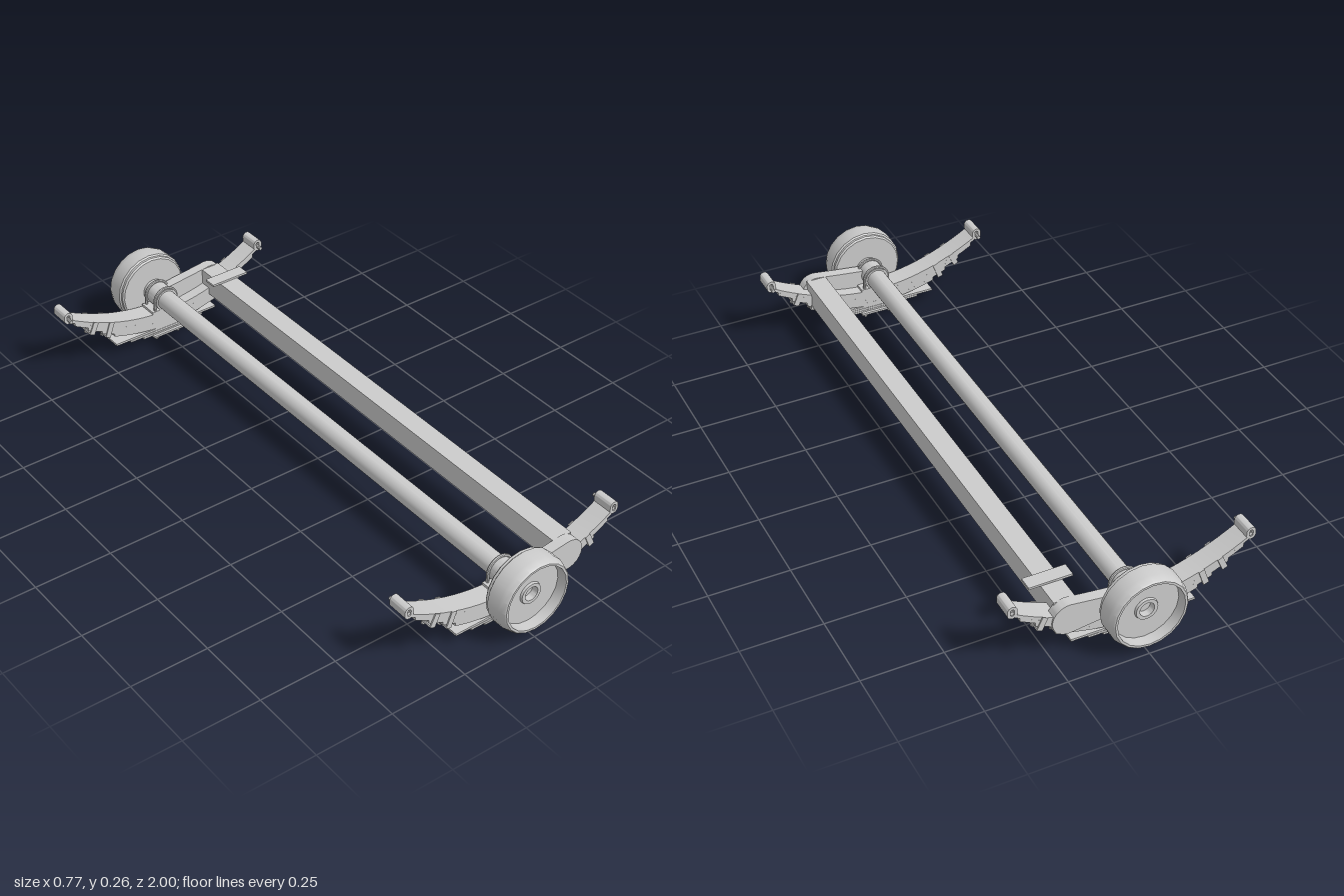
import * as THREE from 'three';
import { toCreasedNormals } from 'three/addons/utils/BufferGeometryUtils.js';

const material = new THREE.MeshStandardMaterial({ color: 0xcccccc });
const AXLE_Y = 0.14;
const SPRING_Z = 0.867;
const SPRING_W = 0.066;

function add(parent, name, geometry, x = 0, y = 0, z = 0) {
  const mesh = new THREE.Mesh(toCreasedNormals(geometry, 0.5), material);
  mesh.name = name;
  mesh.position.set(x, y, z);
  parent.add(mesh);
  return mesh;
}

const box = (w, h, d) => new THREE.BoxGeometry(w, h, d);
const rod = (r, length, sides = 12) => new THREE.CylinderGeometry(r, r, length, sides);
const rodZ = (r, length, sides = 20) => rod(r, length, sides).rotateX(Math.PI / 2);

// Extrudes a side profile along z, centred on z = 0
function slab(shape, depth) {
  return new THREE.ExtrudeGeometry(shape, { depth, bevelEnabled: false, curveSegments: 10 })
    .translate(0, 0, -depth / 2);
}

// Upper curve of the leaf stack
const springY = (x) => 0.1 + 0.81 * x * x;

function leafGeometry(halfLength, drop, thickness) {
  const top = [], bottom = [];
  const steps = 24;
  for (let i = 0; i <= steps; i++) {
    const x = halfLength * (2 * i / steps - 1);
    const y = springY(x) - drop;
    top.unshift(new THREE.Vector2(x, y));
    bottom.push(new THREE.Vector2(x, y - thickness));
  }
  return slab(new THREE.Shape([...bottom, ...top]), SPRING_W);
}

// Upright eye plate with a slotted hole
function eyeGeometry() {
  const capsule = (PathType, r, h) => {
    const p = new PathType();
    p.absarc(0, h, r, 0, Math.PI, false);
    p.absarc(0, -h, r, Math.PI, Math.PI * 2, false);
    p.closePath();
    return p;
  };
  const shape = capsule(THREE.Shape, 0.015, 0.005);
  shape.holes.push(capsule(THREE.Path, 0.006, 0.005));
  return slab(shape, SPRING_W);
}

function buildSpring(s) {
  const spring = new THREE.Group();
  spring.name = 'leafSpring';
  spring.position.z = s * SPRING_Z;

  [0.362, 0.347, 0.3, 0.25, 0.205].forEach((half, i) => {
    add(spring, 'springLeaf', leafGeometry(half, i * 0.0112, 0.0112));
  });

  for (const side of [-1, 1]) {
    // Eye and its pin, pointing inboard
    add(spring, 'springEye', eyeGeometry(), side * 0.369, 0.214);
    add(spring, 'eyePin', rodZ(0.006, 0.08, 10), side * 0.369, 0.209, -s * 0.01);

    // Clips wrapped round the leaves
    [[0.28, 0.042], [0.222, 0.052]].forEach(([x, height]) => {
      const clip = new THREE.Group();
      clip.name = 'springClip';
      clip.position.set(side * x, springY(x) - height / 2, 0);
      clip.rotation.z = side * Math.atan(1.62 * x);
      for (const z of [-1, 1]) {
        add(clip, 'clipSide', box(0.018, height, 0.004), 0, 0, z * (SPRING_W / 2 + 0.002));
      }
      add(clip, 'clipBase', box(0.018, 0.005, SPRING_W + 0.008), 0, -height / 2);
      add(clip, 'clipBolt', rod(0.006, 0.012, 8), 0, -height / 2 - 0.006);
      spring.add(clip);
    });
  }

  // Straight helper leaves below the stack
  [[-0.2, 0.19, 0.041], [-0.145, 0.136, 0.033], [-0.096, 0.089, 0.025]].forEach(([a, b, y]) => {
    add(spring, 'helperLeaf', box(b - a, 0.007, SPRING_W), (a + b) / 2, y);
  });
  add(spring, 'spacerBlock', box(0.1, 0.012, SPRING_W), 0, 0.045);
  add(spring, 'clampPlate', box(0.12, 0.007, 0.086), 0, 0.0195);
  add(spring, 'axleSaddle', box(0.11, 0.014, SPRING_W), 0, 0.104);
  add(spring, 'centreBolt', rod(0.006, 0.03, 8), 0, 0.022);

  // U-bolts over the axle
  for (const z of [-0.026, 0.026]) {
    add(spring, 'uBoltArch', new THREE.TorusGeometry(0.042, 0.005, 8, 16, Math.PI), 0, AXLE_Y, z);
    for (const x of [-0.042, 0.042]) {
      add(spring, 'uBoltLeg', rod(0.005, AXLE_Y, 8), x, AXLE_Y / 2, z);
      add(spring, 'uBoltNut', rod(0.009, 0.01, 6), x, 0.011, z);
    }
  }
  return spring;
}

// Swing arm: narrow at the axle, round at the cross beam
function armGeometry() {
  const shape = new THREE.Shape();
  shape.moveTo(0, 0.102);
  shape.lineTo(0.195, 0.077);
  shape.absarc(0.2, 0.128, 0.051, -Math.PI / 2 - 0.1, Math.PI / 2 + 0.1, false);
  shape.lineTo(0.12, 0.169);
  shape.lineTo(0, 0.155);
  shape.closePath();
  return slab(shape, 0.034);
}

// Dished drum with a raised lip and recessed hub
function wheelGeometry() {
  const profile = [
    [0, 0.915], [0.112, 0.915], [0.117, 0.92], [0.117, 0.928], [0.122, 0.932],
    [0.122, 0.975], [0.119, 0.985], [0.115, 0.997], [0.112, 1], [0.105, 1],
    [0.102, 0.968], [0.036, 0.968], [0.034, 0.975], [0.023, 0.975], [0.021, 0.955], [0, 0.955],
  ].map(([r, z]) => new THREE.Vector2(r, z));
  return new THREE.LatheGeometry(profile, 20);
}

export function createModel() {
  const model = new THREE.Group();
  model.name = 'axleAssembly';

  add(model, 'axleTube', rodZ(0.033, 1.84, 24), 0, AXLE_Y);
  add(model, 'crossBeam', box(0.066, 0.076, 1.75), 0.2, 0.137);

  // Thin mounting plate on one end of the beam
  add(model, 'beamPlate', box(0.135, 0.007, 0.044), 0.203, 0.181, -0.78);

  for (const s of [-1, 1]) {
    const end = new THREE.Group();
    end.name = s > 0 ? 'frontEnd' : 'rearEnd';
    const wheel = add(end, 'wheelDrum', wheelGeometry(), 0, AXLE_Y);
    wheel.rotation.x = s * Math.PI / 2;
    add(end, 'axleSleeve', rodZ(0.039, 0.078, 24), 0, AXLE_Y, s * 0.873);
    add(end, 'swingArm', armGeometry(), 0, 0, s * 0.888);
    end.add(buildSpring(s));
    model.add(end);
  }
  return model;
}
